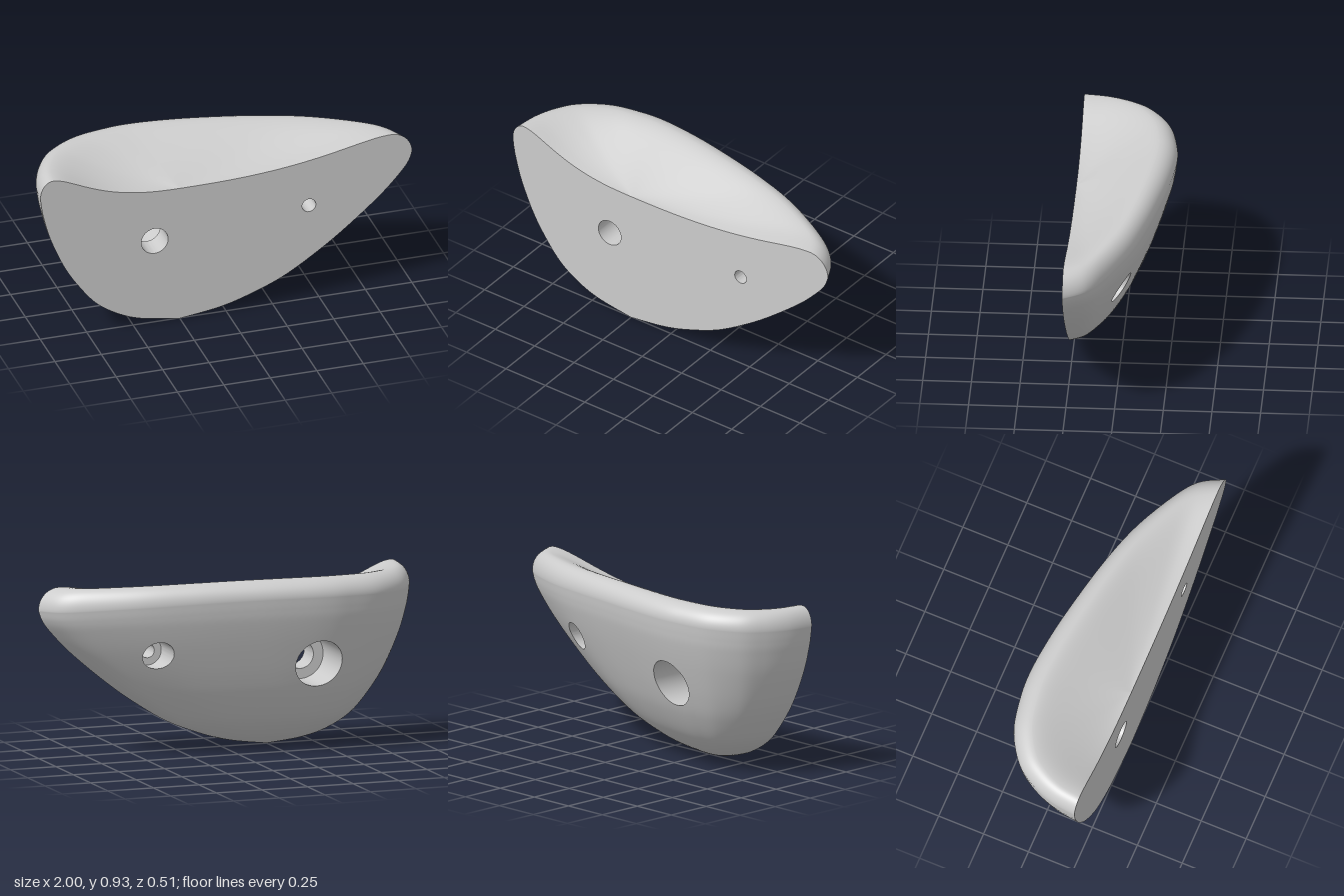
import * as THREE from 'three';
import { toCreasedNormals } from 'three/addons/utils/BufferGeometryUtils.js';

const FRONT = 0.255;   // plane of the flat mounting face
const CX = -0.25;      // x of the lowest point and of the pocket centre
const COLS = 128, OUTER = 84, LIP = 14, FLOOR = 30;

// Body levels from bottom to widest: height fraction, left x, right x, rearmost z
const levels = [
  0, -0.25, -0.25, 0.255,
  0.04, -0.45, -0.04, 0.17,
  0.1, -0.58, 0.12, 0.085,
  0.2, -0.70, 0.305, -0.005,
  0.35, -0.80, 0.49, -0.085,
  0.5, -0.875, 0.645, -0.14,
  0.7, -0.945, 0.825, -0.198,
  0.85, -0.98, 0.935, -0.235,
  0.93, -0.993, 0.98, -0.248,
  1, -1, 1, -0.255,
];
const levelAt = new THREE.CubicInterpolant([0, 1, 2, 3, 4, 5, 6, 7, 8, 9], levels, 4);

// Plan outline: position along x (0 left, 1 right) and share of full depth
const plan = new THREE.SplineCurve([
  [0, 0], [0.01, 0.27], [0.035, 0.52], [0.075, 0.73], [0.15, 0.91], [0.24, 0.985],
  [0.31, 1], [0.4, 0.97], [0.5, 0.91], [0.65, 0.79], [0.78, 0.64], [0.9, 0.42],
  [0.965, 0.24], [1, 0],
].map(([x, y]) => new THREE.Vector2(x, y)));

// Bolt holes: centre, bore radius at the face, wider radius at the back
const holes = [
  { name: 'boltHole', x: -0.385, y: 0.475, r: 0.072, R: 0.125, step: 0.12 },
  { name: 'screwHole', x: 0.445, y: 0.545, r: 0.037, R: 0.075, step: 0.14 },
];

function skinPoint(row, col) {
  const { x: t, y: d } = plan.getPoint(col / COLS);
  const [s, xl, xr, zb] = levelAt.evaluate(9 * Math.min(row / OUTER, 1));
  const x = xl + (xr - xl) * t, z = FRONT - (FRONT - zb) * d;
  const wide = 0.82 + 0.12 * t - 0.17 * t * t;
  const crest = 0.915 + 0.08 * t - 0.11 * t * t;
  if (row <= OUTER) return new THREE.Vector3(x, s * wide, z);
  let sx, sz, y;
  if (row <= OUTER + LIP) {
    // Rounded lip from the widest ring up to the crest
    const a = (row - OUTER) / LIP * Math.PI / 2;
    sx = 1 - 0.09 * (1 - Math.cos(a));
    sz = 1 - 0.18 * (1 - Math.cos(a));
    y = wide + (crest - wide) * Math.sin(a);
  } else {
    // Pocket floor falling towards the front face
    const k = 1 - (row - OUTER - LIP) / FLOOR;
    const p = 1 - (1 - k) ** 1.4;
    sx = 0.91 * p;
    sz = 0.82 * p;
    y = 0.76 + (crest - 0.76) * (1.1 * p - 0.1 * p ** 11) ** (2.5 - 1.3 * d);
  }
  return new THREE.Vector3(CX + (x - CX) * sx, y, FRONT - (FRONT - z) * sz);
}

// Joins rows of points into a surface, leaving out faces that are cut away
function gridGeometry(rows, isCut = () => false) {
  const w = rows[0].length, index = [];
  const tri = (...t) => { if (!t.every(isCut)) index.push(...t); };
  for (let i = 0; i < rows.length - 1; i++) {
    for (let j = 0; j < w - 1; j++) {
      const a = i * w + j;
      tri(a, a + w, a + 1);
      tri(a + 1, a + w, a + w + 1);
    }
  }
  const geo = new THREE.BufferGeometry().setFromPoints(rows.flat());
  geo.setIndex(index);
  geo.computeVertexNormals();
  return geo;
}

export function createModel() {
  const group = new THREE.Group();
  const material = new THREE.MeshStandardMaterial({ color: 0xcccccc, side: THREE.DoubleSide });
  const add = (name, geo) => {
    const mesh = new THREE.Mesh(geo, material);
    mesh.name = name;
    group.add(mesh);
  };

  const rows = [];
  for (let i = 0; i <= OUTER + LIP + FLOOR; i++) {
    rows.push(Array.from({ length: COLS + 1 }, (_, j) => skinPoint(i, j)));
  }

  // Depth of the uncut back surface at a given x, y
  const solid = new THREE.Mesh(gridGeometry(rows), material);
  const ray = new THREE.Raycaster();
  const backZ = (x, y) => {
    ray.set(new THREE.Vector3(x, y, -1), new THREE.Vector3(0, 0, 1));
    const hit = ray.intersectObject(solid)[0];
    return hit ? hit.point.z : FRONT;
  };

  // Open the holes: points inside a hole move out to its rim
  const cut = new Set();
  const shellRows = rows.map((r) => r.map((p) => p.clone()));
  shellRows.slice(0, OUTER).flat().forEach((p, i) => {
    for (const h of holes) {
      const dx = p.x - h.x, dy = p.y - h.y, dist = Math.hypot(dx, dy);
      if (dist >= h.R) continue;
      const k = h.R / Math.max(dist, 1e-6);
      const x = h.x + dx * k, y = h.y + dy * k;
      p.set(x, y, backZ(x, y));
      cut.add(i);
    }
  });
  add('shell', gridGeometry(shellRows, (i) => cut.has(i)));

  // Flat mounting face, bounded by the two ends of the shell
  const left = rows.map((r) => r[0]);
  const right = rows.map((r) => r[COLS]).slice(1, -1).reverse();
  const face = new THREE.Shape([...left, ...right].map((p) => new THREE.Vector2(p.x, p.y)));
  for (const h of holes) face.holes.push(new THREE.Path().absarc(h.x, h.y, h.r, 0, Math.PI * 2, true));
  add('mountingFace', new THREE.ShapeGeometry(face, 32).translate(0, 0, FRONT));

  // Stepped bores
  for (const h of holes) {
    const ring = (r, z) => Array.from({ length: 65 }, (_, i) => {
      const a = i / 64 * Math.PI * 2;
      const x = h.x + r * Math.cos(a), y = h.y + r * Math.sin(a);
      return new THREE.Vector3(x, y, z ?? backZ(x, y));
    });
    const bore = gridGeometry([ring(h.R), ring(h.R, h.step), ring(h.r, h.step), ring(h.r, FRONT)]);
    add(h.name, toCreasedNormals(bore, 0.6));
  }
  return group;
}
